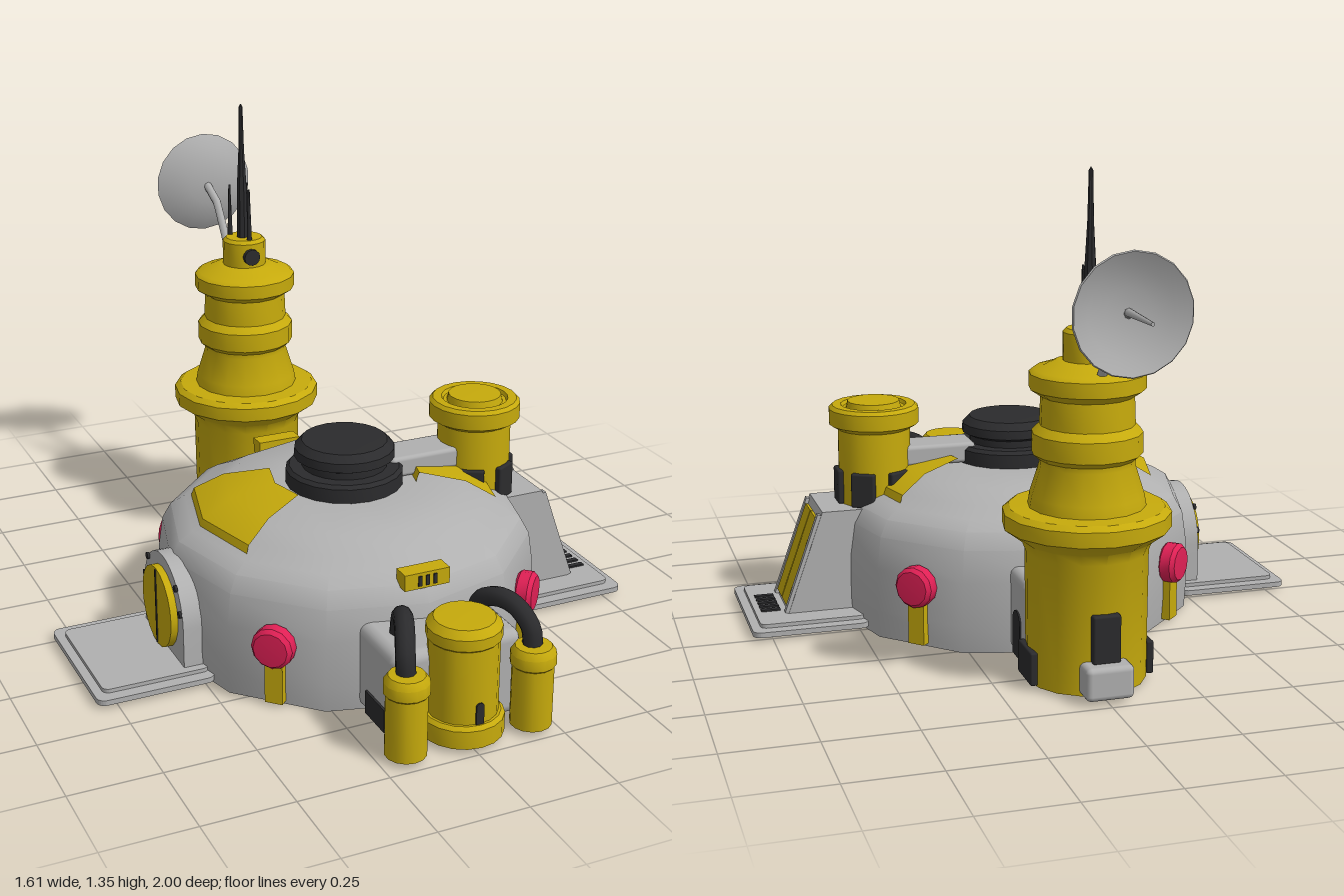
import * as THREE from 'three';
import { toCreasedNormals } from 'three/addons/utils/BufferGeometryUtils.js';
import { RoundedBoxGeometry } from 'three/addons/geometries/RoundedBoxGeometry.js';

export function createModel() {
  const root = new THREE.Group();
  const mat = (name, color, side = THREE.FrontSide) =>
    Object.assign(new THREE.MeshStandardMaterial({ color, side }), { name });
  const grey = mat('grey', 0xb0b0b0);
  const yellow = mat('yellow', 0xc6aa0c);
  const black = mat('black', 0x2b2b2d);
  const pink = mat('pink', 0xe02055);

  const add = (name, geo, material, x = 0, y = 0, z = 0, parent = root) => {
    const m = new THREE.Mesh(geo, material);
    m.name = name;
    m.position.set(x, y, z);
    parent.add(m);
    return m;
  };
  const lathe = (pts, seg = 16, start = 0, len = Math.PI * 2) =>
    toCreasedNormals(new THREE.LatheGeometry(pts.map(p => new THREE.Vector2(...p)), seg, start, len), 0.6);
  const box = (w, h, d) => new THREE.BoxGeometry(w, h, d);
  const rbox = (w, h, d, r = 0.02) => new RoundedBoxGeometry(w, h, d, 2, r);
  const tube = (pts, r, seg = 16) => new THREE.TubeGeometry(
    new THREE.CatmullRomCurve3(pts.map(p => new THREE.Vector3(...p))), seg, r, 10);
  // pivot at (x, z) whose local +z points along angle a
  const pivot = (name, x, z, a) => {
    const g = new THREE.Group();
    g.name = name;
    g.position.set(x, 0, z);
    g.rotation.y = a;
    root.add(g);
    return g;
  };
  // arch outline with a round top
  const arch = (r, h, depth) => {
    const s = new THREE.Shape();
    s.moveTo(-r, 0);
    s.lineTo(r, 0);
    s.absarc(0, h - r, r, 0, Math.PI, false);
    s.closePath();
    return toCreasedNormals(new THREE.ExtrudeGeometry(s, { depth, bevelEnabled: false, curveSegments: 10 }), 0.6);
  };
  // flat slab with rounded corners, lying on its base
  const slab = (w, d, h, r) => {
    const a = w / 2, b = d / 2, s = new THREE.Shape();
    s.absarc(a - r, b - r, r, 0, Math.PI / 2);
    s.absarc(-a + r, b - r, r, Math.PI / 2, Math.PI);
    s.absarc(-a + r, -b + r, r, Math.PI, Math.PI * 1.5);
    s.absarc(a - r, -b + r, r, Math.PI * 1.5, Math.PI * 2);
    return new THREE.ExtrudeGeometry(s, { depth: h, bevelEnabled: false, curveSegments: 3 }).rotateX(-Math.PI / 2);
  };
  const CZ = 0.195; // dome centre

  // Main dome and its two roof panels
  add('dome', lathe([[0, 0], [0.53, 0], [0.535, 0.08], [0.533, 0.2], [0.52, 0.29], [0.495, 0.335],
    [0.455, 0.36], [0.4, 0.385], [0.34, 0.42], [0.2, 0.43], [0, 0.43]], 12), grey, 0, 0, CZ);
  for (const a of [Math.PI / 2, Math.PI * 1.5])
    add('roofPanel', lathe([[0.435, 0.365], [0.425, 0.39], [0.34, 0.436], [0.21, 0.458], [0.2, 0.425]],
      2, a - 0.5, 1), yellow, 0, 0, CZ);

  // Roof hub, arm and turret
  add('hub', lathe([[0, 0.41], [0.165, 0.41], [0.165, 0.47], [0.155, 0.48], [0.12, 0.48], [0.12, 0.5],
    [0.142, 0.51], [0.14, 0.535], [0.12, 0.555], [0, 0.56]], 20), black, 0, 0, CZ);
  add('turretArm', rbox(0.24, 0.06, 0.12, 0.012), grey, 0.24, 0.462, CZ);
  add('turret', lathe([[0, 0.32], [0.105, 0.32], [0.105, 0.545], [0.13, 0.56], [0.13, 0.605], [0.12, 0.615],
    [0.095, 0.615], [0.09, 0.605], [0.08, 0.605], [0.075, 0.625], [0, 0.627]], 20), yellow, 0.41, 0, CZ);
  for (let i = 0; i < 6; i++)
    add('turretBlock', rbox(0.07, 0.1, 0.03, 0.006), black, 0, 0.38, 0.1,
      pivot('turretBlockMount', 0.41, CZ, Math.PI / 2 + i * Math.PI / 3));

  // Lamps on posts around the wall
  for (let i = 0; i < 4; i++) {
    const g = pivot('lampMount', 0, CZ, Math.PI / 4 + i * Math.PI / 2);
    add('lampPost', box(0.05, 0.14, 0.045), yellow, 0, 0.08, 0.515, g);
    add('lamp', lathe([[0, -0.025], [0.05, -0.025], [0.058, -0.015], [0.058, 0.015], [0.048, 0.027], [0, 0.03]], 12)
      .rotateX(Math.PI / 2), pink, 0, 0.177, 0.533, g);
  }

  // Rim vents, front and back
  for (const a of [0, Math.PI]) {
    const g = pivot('vent', 0, CZ, a);
    add('ventBody', box(0.13, 0.045, 0.05), yellow, 0, 0.353, 0.483, g);
    for (const x of [-0.022, 0, 0.022]) add('ventSlot', box(0.01, 0.028, 0.006), black, x, 0.353, 0.509, g);
  }

  // Entry platforms on both sides
  for (const s of [-1, 1]) {
    add('platform', slab(0.33, 0.43, 0.015, 0.025), grey, s * 0.64, 0.012, CZ);
    add('platformTop', slab(0.3, 0.36, 0.012, 0.02), grey, s * 0.63, 0.026, CZ);
  }

  // Sloped hatch on the left side
  const wedge = new THREE.Shape([[0.44, 0.02], [0.695, 0.02], [0.585, 0.33], [0.44, 0.33]]
    .map(p => new THREE.Vector2(...p)));
  add('hatchHousing', new THREE.ExtrudeGeometry(wedge, { depth: 0.21, bevelEnabled: false }), grey, 0, 0, CZ - 0.105);
  for (const s of [-1, 1]) {
    add('hatchDoor', box(0.009, 0.27, 0.074), yellow, 0.643, 0.18, CZ + s * 0.04).rotation.z = 0.341;
    add('hatchRail', box(0.012, 0.3, 0.02), grey, 0.643, 0.18, CZ + s * 0.093).rotation.z = 0.341;
  }
  for (let i = 0; i < 5; i++) add('grille', box(0.055, 0.006, 0.016), black, 0.735, 0.04, CZ - 0.064 + i * 0.032);

  // Round door on the right side
  const door = pivot('roundDoor', 0, CZ, -Math.PI / 2);
  add('doorFrame', arch(0.155, 0.285, 0.1), grey, 0, 0.02, 0.445, door);
  add('doorDisc', new THREE.CylinderGeometry(0.115, 0.115, 0.03, 20).rotateX(Math.PI / 2), yellow, 0, 0.155, 0.55, door);
  add('doorSeam', box(0.006, 0.22, 0.004), black, 0, 0.155, 0.566, door);
  for (const s of [-1, 1]) for (const [u, y] of [[0.11, 0.255], [0.138, 0.19]])
    add('doorBolt', new THREE.CylinderGeometry(0.01, 0.01, 0.008, 8).rotateX(Math.PI / 2), black, s * u, y, 0.548, door);

  // Front pump unit: housing, tanks and hoses
  add('pumpHousing', rbox(0.37, 0.245, 0.24, 0.03), grey, 0.005, 0.128, 0.755);
  add('mainTank', lathe([[0, 0.015], [0.11, 0.015], [0.11, 0.065], [0.1, 0.075], [0.093, 0.075], [0.093, 0.28],
    [0.098, 0.285], [0.098, 0.315], [0.08, 0.335], [0, 0.338]], 18), yellow, 0.01, 0, 0.885);
  add('tankSlot', arch(0.011, 0.06, 0.006), black, 0.01, 0.075, 0.975);
  for (const s of [-1, 1]) {
    const x = v => 0.005 + s * v;
    add('housingPanel', box(0.009, 0.065, 0.11), black, x(0.187), 0.05, 0.78);
    add('sideTank', lathe([[0, 0.015], [0.055, 0.015], [0.055, 0.185], [0.06, 0.19], [0.06, 0.22], [0.048, 0.238],
      [0, 0.24]], 14), yellow, x(0.18), 0, 0.935);
    add('hose', tube([[x(0.18), 0.22, 0.93], [x(0.178), 0.28, 0.92], [x(0.158), 0.325, 0.875], [x(0.135), 0.33, 0.82],
      [x(0.115), 0.3, 0.77], [x(0.11), 0.23, 0.75]], 0.026, 20), black);
  }

  // Rear tower
  const TZ = -0.53;
  add('tower', lathe([[0, 0.01], [0.16, 0.01], [0.163, 0.36], [0.175, 0.39], [0.222, 0.425], [0.222, 0.465],
    [0.205, 0.478], [0.155, 0.48], [0.15, 0.51], [0.125, 0.59], [0.127, 0.605], [0.145, 0.62], [0.145, 0.675],
    [0.125, 0.695], [0.122, 0.77], [0.152, 0.79], [0.152, 0.83], [0.14, 0.84], [0.115, 0.845], [0.085, 0.86],
    [0.065, 0.862], [0.065, 0.935], [0.055, 0.945], [0, 0.945]], 16), yellow, 0, 0, TZ);
  add('towerLink', rbox(0.28, 0.235, 0.2, 0.025), grey, 0, 0.13, -0.34);
  for (const s of [-1, 1]) {
    const g = pivot('linkDoorMount', 0, -0.365, s * Math.PI / 2);
    add('linkDoor', arch(0.035, 0.13, 0.008), black, 0, 0.015, 0.136, g);
    add('towerPanel', rbox(0.02, 0.09, 0.12, 0.005), black, s * 0.16, 0.06, TZ);
  }
  add('rearBox', rbox(0.13, 0.09, 0.09, 0.015), grey, 0, 0.058, -0.695);
  add('rearPanel', rbox(0.075, 0.13, 0.03, 0.006), black, 0, 0.165, -0.692);

  // Antenna spikes and front port on the tower
  add('towerPort', new THREE.CylinderGeometry(0.025, 0.025, 0.02, 12).rotateX(Math.PI / 2), black, -0.003, 0.897, -0.465);
  add('mainSpike', lathe([[0, 0], [0.018, 0], [0.016, 0.15], [0.009, 0.27], [0.006, 0.4], [0, 0.41]], 8),
    black, -0.005, 0.944, TZ);
  for (const [x, z] of [[-0.03, -0.568], [0.026, -0.568], [0, -0.487]])
    add('smallSpike', new THREE.CylinderGeometry(0.003, 0.008, 0.16, 6), black, x, 1.02, z);

  // Dish on a bent arm, bowl opening to the rear
  const arm = new THREE.CurvePath();
  const joints = [[0, 0.84, -0.64], [0, 0.995, -0.75], [0, 1.035, -0.84]].map(p => new THREE.Vector3(...p));
  for (let i = 0; i < 2; i++) arm.add(new THREE.LineCurve3(joints[i], joints[i + 1]));
  add('dishArm', new THREE.TubeGeometry(arm, 12, 0.013, 8), grey);
  const dish = lathe([[0, 0], [0.06, 0.004], [0.115, 0.018], [0.155, 0.042], [0.152, 0.046], [0.11, 0.026],
    [0.06, 0.013], [0, 0.009]], 18);
  dish.rotateX(-Math.PI / 2);
  add('dish', dish, grey, 0, 1.035, -0.826);
  add('dishFeed', new THREE.CylinderGeometry(0.005, 0.011, 0.165, 8).rotateX(-Math.PI / 2), grey, 0, 1.035, -0.9175);

  return root;
}
